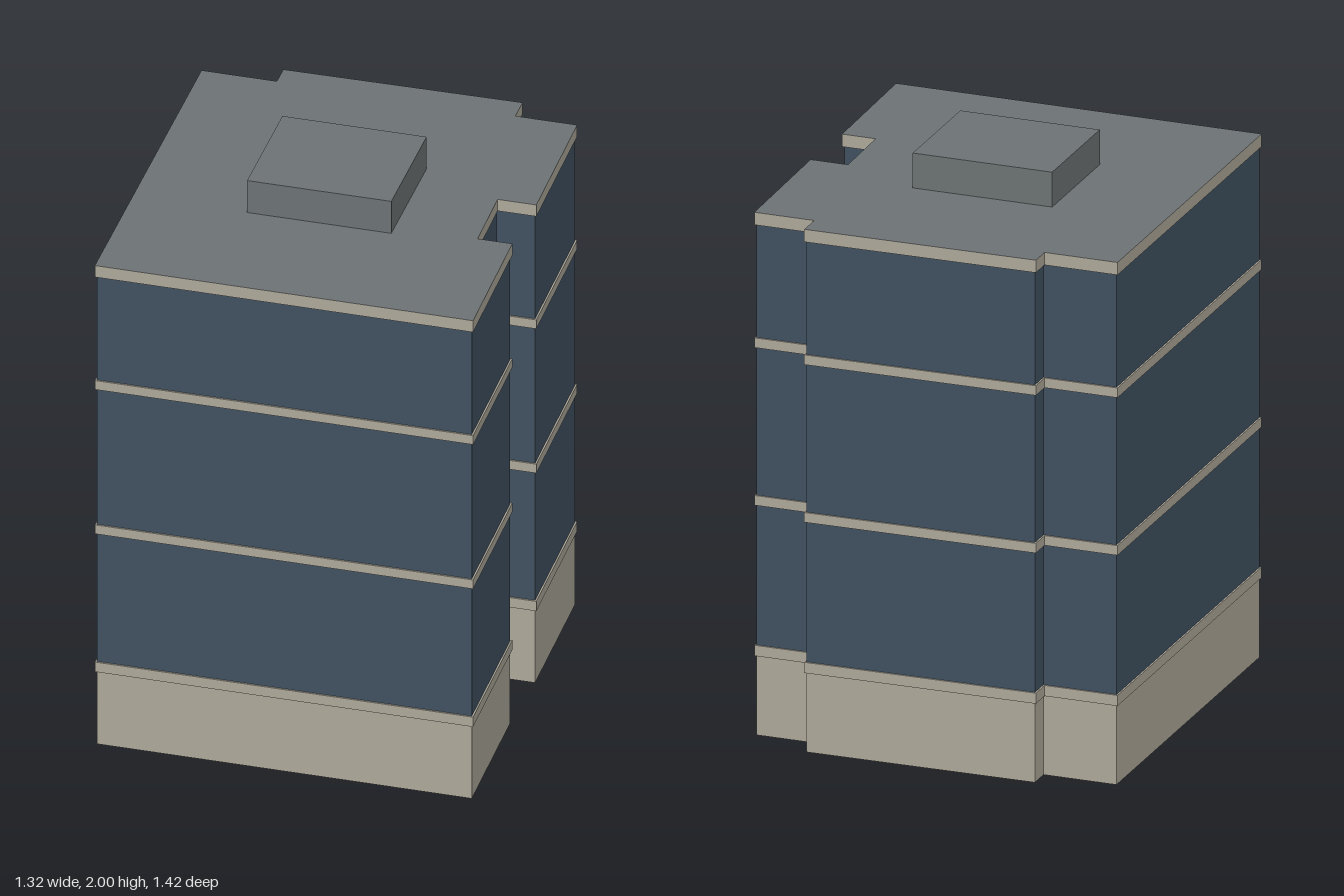
import * as THREE from 'three';

const material = (name, color) => {
  const m = new THREE.MeshStandardMaterial({ color });
  m.name = name;
  return m;
};

// Building footprint as [x, z], running counter-clockwise seen from above
const FOOTPRINT = [
  [-0.656, 0.697], [0.652, 0.7], [0.643, 0.192], [0.522, 0.192],
  [0.517, -0.085], [0.652, -0.085], [0.643, -0.613], [0.427, -0.613],
  [0.427, -0.704], [-0.393, -0.695], [-0.393, -0.615], [-0.656, -0.615],
].map(([x, z]) => new THREE.Vector2(x, -z));

// Footprint with every wall pushed out by the same distance, mitred at corners
function outline(out) {
  const n = FOOTPRINT.length;
  const normal = (a, b) => new THREE.Vector2(b.y - a.y, a.x - b.x).normalize();
  return new THREE.Shape(FOOTPRINT.map((p, i) => {
    const n1 = normal(FOOTPRINT[(i + n - 1) % n], p);
    const n2 = normal(p, FOOTPRINT[(i + 1) % n]);
    const mitre = n1.clone().add(n2).multiplyScalar(out / (1 + n1.dot(n2)));
    return p.clone().add(mitre);
  }));
}

// One storey or band: the outline raised from y0 to y1
function slab(name, y0, y1, out, mat) {
  const geo = new THREE.ExtrudeGeometry(outline(out), { depth: y1 - y0, bevelEnabled: false });
  geo.rotateX(-Math.PI / 2);
  geo.translate(0, y0, 0);
  const mesh = new THREE.Mesh(geo, mat);
  mesh.name = name;
  return mesh;
}

export function createModel() {
  const stone = material('stone', 0xb0aa9c);
  const glass = material('blue glass', 0x415262);
  const roof = material('roof grey', 0x6e7476);
  const group = new THREE.Group();
  group.name = 'officeBlock';

  // Ground floor plinth
  group.add(slab('plinth', 0, 0.285, 0, stone));

  // Glazed storeys between projecting bands
  const bands = [[0.285, 0.323], [0.825, 0.86], [1.39, 1.425], [1.83, 1.875]];
  bands.forEach(([y0, y1], i) => {
    const top = i === bands.length - 1;
    group.add(slab(top ? 'parapetAndRoof' : 'floorBand', y0, y1, 0.006, top ? [roof, stone] : stone));
    if (!top) group.add(slab('glazedStorey', y1, bands[i + 1][0], 0, glass));
  });

  // Plant room on the roof
  const plant = new THREE.Mesh(new THREE.BoxGeometry(0.503, 0.125, 0.438), roof);
  plant.name = 'plantRoom';
  plant.position.set(-0.012, 1.9375, 0.012);
  group.add(plant);

  return group;
}
